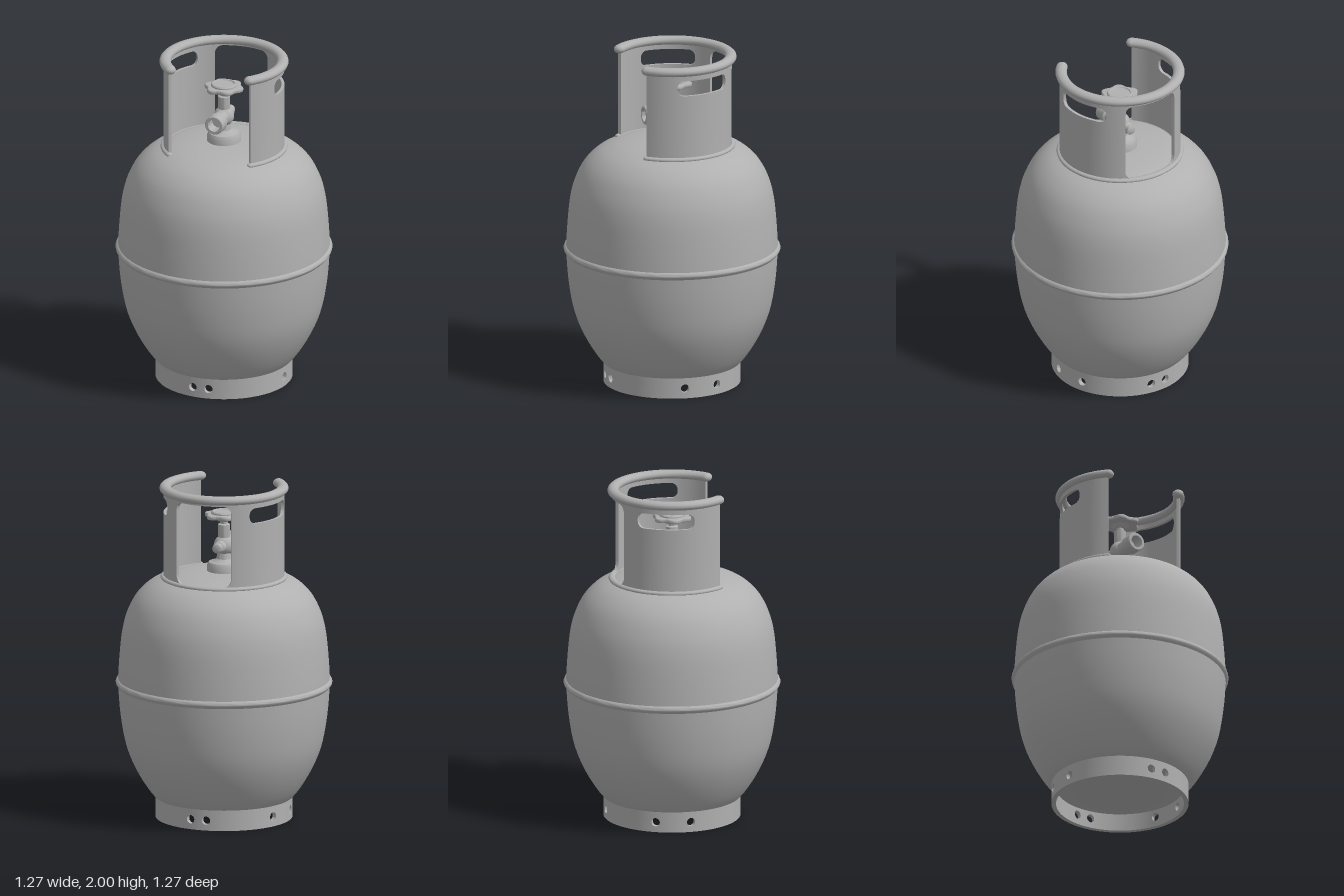
import * as THREE from 'three';
import { mergeGeometries, toCreasedNormals } from 'three/addons/utils/BufferGeometryUtils.js';

const steel = new THREE.MeshStandardMaterial({ color: 0xb0b0b0 });
steel.name = 'grey steel';
const rad = THREE.MathUtils.degToRad;

function part(parent, name, geometry) {
  const mesh = new THREE.Mesh(geometry, steel);
  mesh.name = name;
  parent.add(mesh);
  return mesh;
}

function lathe(points, segments = 32, crease = 0.6) {
  const g = new THREE.LatheGeometry(points.map(([r, y]) => new THREE.Vector2(r, y)), segments);
  return toCreasedNormals(g, crease);
}

// Curved sheet wall with rounded cut-outs. Angles run from +z towards +x;
// a hole is { angle, y, w, h, r }: half width (arc length), half height, corner radius.
function curvedWall(rIn, rOut, y0, y1, from, to, holes) {
  const angles = [];
  const steps = Math.round((to - from) / rad(4));
  for (let i = 0; i <= steps; i++) angles.push(from + (to - from) * i / steps);
  for (const h of holes) {
    for (let i = 0; i <= 6; i++) {
      const u = h.w - h.r + h.r * Math.sin(i * Math.PI / 12);
      angles.push(h.angle - u / rOut, h.angle + u / rOut);
    }
  }
  angles.sort((a, b) => a - b);

  const halfHeight = (h, a) => {
    const over = Math.abs(a - h.angle) * rOut - (h.w - h.r);
    return over <= 0 ? h.h : h.h - h.r + Math.sqrt(Math.max(0, h.r * h.r - over * over));
  };
  const pieces = [];
  const addPiece = (a, b, low, high) => {
    const g = new THREE.BoxGeometry(1, 1, 1);
    const p = g.attributes.position;
    for (let i = 0; i < p.count; i++) {
      const t = p.getX(i) < 0 ? a : b;
      const r = p.getZ(i) < 0 ? rIn : rOut;
      p.setXYZ(i, r * Math.sin(t), p.getY(i) < 0 ? low(t) : high(t), r * Math.cos(t));
    }
    pieces.push(g);
  };
  for (let i = 0; i + 1 < angles.length; i++) {
    const a = angles[i], b = angles[i + 1];
    if (b - a < 1e-5) continue;
    const h = holes.find((k) => Math.abs((a + b) / 2 - k.angle) * rOut < k.w);
    if (h) {
      addPiece(a, b, () => y0, (t) => h.y - halfHeight(h, t));
      addPiece(a, b, (t) => h.y + halfHeight(h, t), () => y1);
    } else {
      addPiece(a, b, () => y0, () => y1);
    }
  }
  return toCreasedNormals(mergeGeometries(pieces), 0.6);
}

// Bar following an arc that is open at the front, with rounded ends
function openRing(parent, name, radius, tube, squash, y, gap) {
  const group = new THREE.Group();
  group.name = name;
  const sweep = Math.PI * 2 - 2 * gap;
  const arc = new THREE.TorusGeometry(radius, tube, 14, 64, sweep);
  arc.rotateX(-Math.PI / 2);
  arc.rotateY(gap - Math.PI / 2);
  part(group, name + 'Bar', arc);
  for (const s of [-1, 1]) {
    const end = part(group, name + 'End', new THREE.SphereGeometry(tube, 16, 12));
    end.position.set(s * radius * Math.sin(gap), 0, radius * Math.cos(gap));
  }
  group.scale.y = squash;
  group.position.y = y;
  parent.add(group);
}

function buildValve() {
  const valve = new THREE.Group();
  valve.name = 'valve';
  part(valve, 'valveBase', lathe([
    [0.1, 1.46], [0.1, 1.51], [0.09, 1.53], [0.06, 1.537], [0.045, 1.55], [0.04, 1.575], [0.036, 1.6],
  ]));
  part(valve, 'valveStem', lathe([
    [0.03, 1.6], [0.036, 1.7], [0.036, 1.755], [0.022, 1.76], [0.022, 1.79],
  ]));
  const core = part(valve, 'valveBody', new THREE.SphereGeometry(0.06, 24, 16));
  core.position.y = 1.63;

  // Hollow outlet facing forward
  const outlet = lathe([
    [0.045, 0], [0.045, 0.09], [0.056, 0.1], [0.056, 0.17], [0.052, 0.175], [0.037, 0.175], [0.037, 0.1], [0, 0.1],
  ]);
  outlet.rotateX(Math.PI / 2);
  part(valve, 'outlet', outlet).position.y = 1.63;

  // Relief plug facing back
  const plug = lathe([[0.036, 0], [0.036, 0.08], [0.028, 0.09], [0.028, 0.115], [0.02, 0.12], [0, 0.12]], 20);
  plug.rotateX(-Math.PI / 2);
  part(valve, 'reliefPlug', plug).position.y = 1.63;

  // Handwheel with six soft lobes
  const outline = new THREE.Shape();
  for (let i = 0; i < 72; i++) {
    const t = i * Math.PI / 36, r = 0.1 + 0.01 * Math.cos(6 * t);
    outline[i ? 'lineTo' : 'moveTo'](r * Math.cos(t), r * Math.sin(t));
  }
  const wheel = new THREE.ExtrudeGeometry(outline, {
    depth: 0.012, bevelEnabled: true, bevelSize: 0.008, bevelThickness: 0.007, bevelSegments: 3,
  });
  wheel.rotateX(-Math.PI / 2);
  part(valve, 'handwheel', toCreasedNormals(wheel, 0.7)).position.y = 1.802;
  part(valve, 'handwheelHub', lathe([
    [0, 1.775], [0.035, 1.775], [0.055, 1.795], [0.076, 1.81], [0.076, 1.828],
    [0.07, 1.835], [0.062, 1.835], [0.058, 1.829], [0, 1.829],
  ]));
  return valve;
}

export function createModel() {
  const model = new THREE.Group();
  model.name = 'gasCylinder';

  // Pressure vessel: two domes either side of the weld seam
  const profile = new THREE.SplineCurve([
    [0, 0.06], [0.2, 0.068], [0.32, 0.09], [0.405, 0.125], [0.5, 0.26], [0.57, 0.42], [0.605, 0.6],
    [0.62, 0.78], [0.62, 0.85], [0.61, 1.0], [0.596, 1.12], [0.57, 1.22], [0.52, 1.32],
    [0.45, 1.392], [0.37, 1.435], [0.28, 1.46], [0.15, 1.475], [0, 1.48],
  ].map(([r, y]) => new THREE.Vector2(r, y))).getPoints(68);
  profile[0].x = profile[68].x = 0;
  part(model, 'tank', new THREE.LatheGeometry(profile, 64));
  part(model, 'weldSeam', lathe([
    [0.618, 0.782], [0.625, 0.792], [0.634, 0.802], [0.636, 0.81], [0.632, 0.82], [0.624, 0.828], [0.617, 0.832],
  ], 64, 1));

  // Foot ring with drain holes
  const drains = [-7, 7, 82, 112, 173, 187, 248, 278]
    .map((d) => ({ angle: rad(d), y: 0.06, w: 0.025, h: 0.025, r: 0.025 }));
  part(model, 'footRing', curvedWall(0.375, 0.402, 0, 0.125, rad(-40), rad(320), drains));

  // Guard collar: grip slot each side and a tall window at the back
  const gap = rad(46);
  const slots = [104.5, 255.5].map((d) => ({ angle: rad(d), y: 1.875, w: 0.175, h: 0.046, r: 0.04 }));
  const backWindow = { angle: Math.PI, y: 1.695, w: 0.182, h: 0.245, r: 0.05 };
  part(model, 'guardCollar', curvedWall(0.337, 0.355, 1.41, 1.97, gap, Math.PI * 2 - gap, [...slots, backWindow]));
  openRing(model, 'collarRim', 0.345, 0.034, 0.78, 1.9735, gap);
  openRing(model, 'collarWeld', 0.352, 0.02, 0.7, 1.441, gap);

  model.add(buildValve());
  return model;
}
